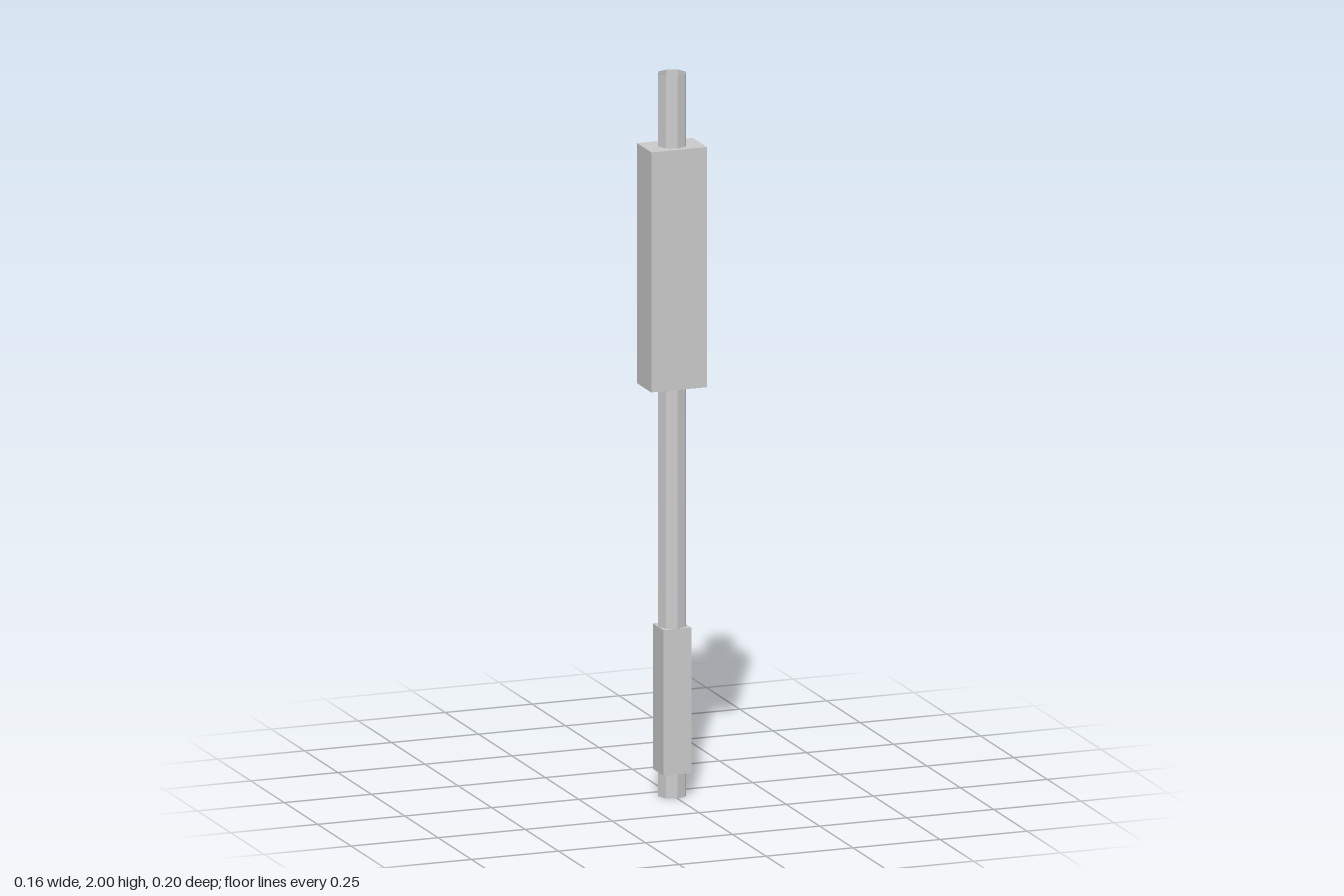
import * as THREE from 'three';

const material = new THREE.MeshStandardMaterial({ color: 0xcccccc, flatShading: true });
const openMaterial = new THREE.MeshStandardMaterial({ color: 0xcccccc, flatShading: true, side: THREE.DoubleSide });

const AXIS_Z = 0.047; // depth of the shaft's axis
const RADIUS = 0.04;

export function createModel() {
  const group = new THREE.Group();

  const add = (name, geometry, x, y, z, mat = material) => {
    const mesh = new THREE.Mesh(geometry, mat);
    mesh.name = name;
    mesh.position.set(x, y, z);
    group.add(mesh);
  };

  // Box given by its lower and upper corners
  const addBox = (name, [x0, y0, z0], [x1, y1, z1]) =>
    add(name, new THREE.BoxGeometry(x1 - x0, y1 - y0, z1 - z0),
      (x0 + x1) / 2, (y0 + y1) / 2, (z0 + z1) / 2);

  // Eight-sided hollow shaft, open at the top
  add('shaft', new THREE.CylinderGeometry(RADIUS, RADIUS, 2, 8, 1, true), 0, 1, AXIS_Z, openMaterial);

  // Slender core closing the bottom and rising to a point inside the shaft
  add('shaftCore', new THREE.ConeGeometry(RADIUS, 2, 8), 0, 1, AXIS_Z);

  // Main housing and lower grip
  addBox('housing', [-0.08, 1.135, -0.007], [0.08, 1.8, 0.1]);
  addBox('lowerGrip', [-0.04, 0.067, AXIS_Z - 0.04], [0.04, 0.47, AXIS_Z + 0.04]);

  // Bracket and handle on the back
  addBox('bracket', [-0.02, 1.3, -0.047], [0.019, 1.503, -0.007]);
  addBox('handle', [-0.027, 1.105, -0.1], [0.025, 1.435, -0.022]);

  return group;
}
